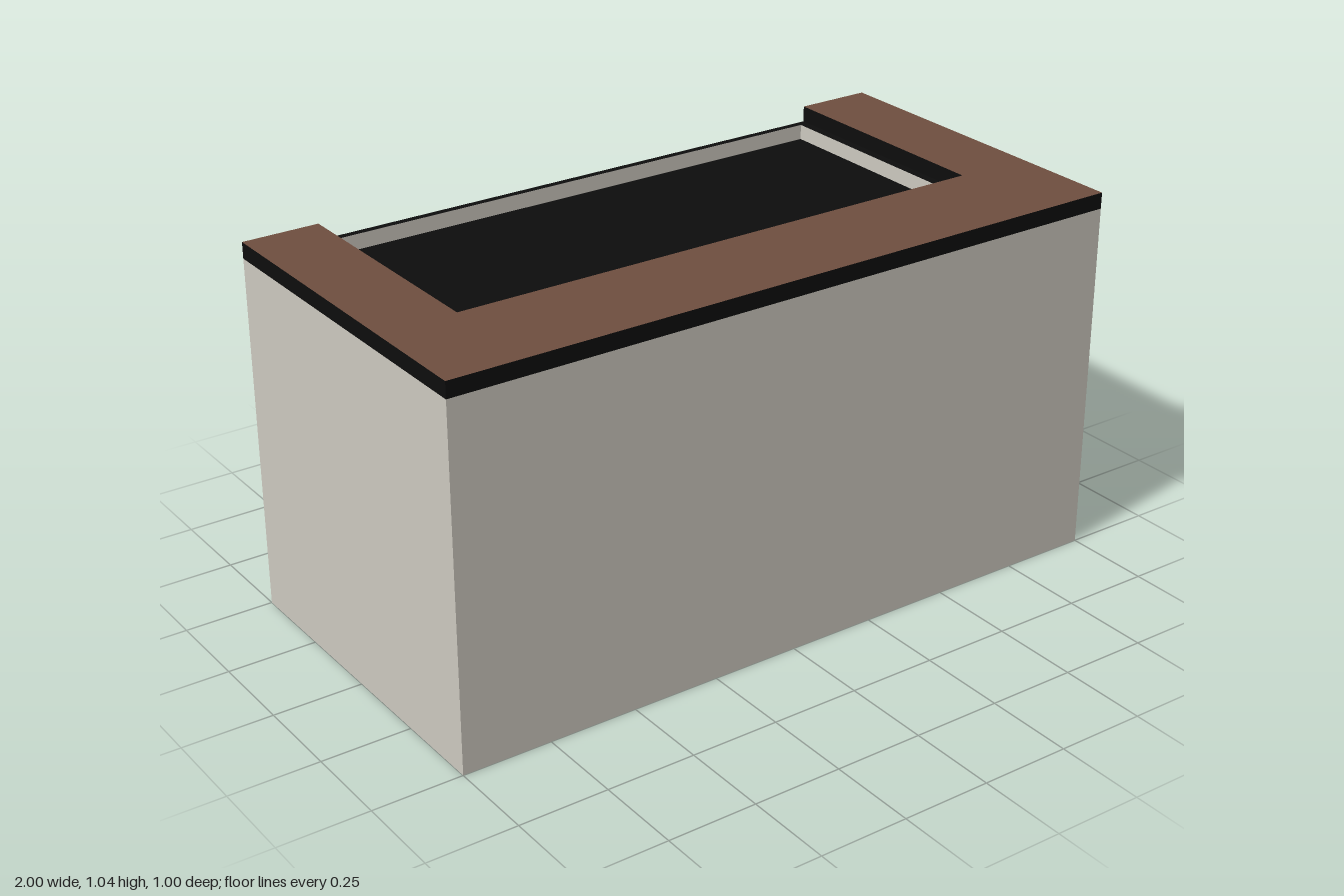
import * as THREE from 'three';

const mat = (color) => new THREE.MeshStandardMaterial({ color });

// Closed 2D shape from a list of points
const shape = (pts, hole) => {
  const s = new THREE.Shape(pts.map(([x, y]) => new THREE.Vector2(x, y)));
  if (hole) s.holes.push(new THREE.Path(hole.map(([x, y]) => new THREE.Vector2(x, y))));
  return s;
};

// Flat-shaded strip along a 2D path, from z0 to z1, facing right of travel
function ribbon(path, z0, z1) {
  const pos = [];
  for (let i = 0; i < path.length - 1; i++) {
    const [ax, ay] = path[i], [bx, by] = path[i + 1];
    pos.push(ax, ay, z0, bx, by, z0, bx, by, z1, ax, ay, z0, bx, by, z1, ax, ay, z1);
  }
  const g = new THREE.BufferGeometry();
  g.setAttribute('position', new THREE.Float32BufferAttribute(pos, 3));
  g.computeVertexNormals();
  return g;
}

// Plan rectangle (plan y = -z), counter-clockwise
const plan = (w, back, front) => [[-w, -front], [w, -front], [w, -back], [-w, -back]];
// Outline of an opening standing on the floor
const opening = (w, h) => [[-w, 0], [-w, h], [w, h], [w, 0]];
// Panel outline with an opening cut up from the floor
const arch = (W, H, w, h) => [...opening(W, H), ...opening(w, h).reverse()];

export function createModel() {
  const model = new THREE.Group();
  const stone = mat(0xcdc9c0), black = mat(0x0d0d0d), brown = mat(0x6f4e3f);
  const add = (parent, name, geometry, material) => {
    const m = new THREE.Mesh(geometry, material);
    m.name = name;
    parent.add(m);
    return m;
  };

  const TOP = 1, FLOOR = 0.957;                 // rim and sunken desk heights
  const STEP = { w: 0.785, h: 0.87, z: -0.43 }; // shallow outer recess
  const KNEE = { w: 0.58, h: 0.7, z: -0.05 };   // deep knee space
  const flat = (s, y) => new THREE.ShapeGeometry(s).rotateX(-Math.PI / 2).translate(0, y, 0);
  const backFace = (pts, z) => new THREE.ShapeGeometry(shape(pts)).rotateY(Math.PI).translate(0, 0, z);

  // Body: outer walls, stepped back and underside
  const body = new THREE.Group();
  body.name = 'body';
  model.add(body);
  const outer = plan(1, -0.5, 0.5);
  add(body, 'outerWalls', ribbon(outer, 0, TOP).rotateX(-Math.PI / 2), stone);
  body.children[0].name = 'frontAndSideWalls';
  // the back side of the loop is left out, the stepped back closes it
  body.children[0].geometry.dispose();
  body.children[0].geometry = ribbon([outer[3], ...outer.slice(0, 3)], 0, TOP).rotateX(-Math.PI / 2);
  add(body, 'backFrame', backFace(arch(1, TOP, STEP.w, STEP.h), -0.5), stone);
  add(body, 'innerBackFrame', backFace(arch(STEP.w, STEP.h, KNEE.w, KNEE.h), STEP.z), stone);
  add(body, 'kneeSpaceWall', backFace(opening(KNEE.w, KNEE.h), KNEE.z), stone);
  add(body, 'stepReveal', ribbon(opening(STEP.w, STEP.h), -0.5, STEP.z), stone);
  add(body, 'kneeSpaceReveal', ribbon(opening(KNEE.w, KNEE.h), STEP.z, KNEE.z), stone);
  const half = [[1, 0.5], [1, -0.5], [STEP.w, -0.5], [STEP.w, STEP.z], [KNEE.w, STEP.z], [KNEE.w, KNEE.z]];
  const foot = [...half, ...half.map(([x, z]) => [-x, z]).reverse()];
  add(body, 'underside', new THREE.ShapeGeometry(shape(foot)).rotateX(Math.PI / 2), stone);

  // Sunken desk with a thin rim
  const desk = new THREE.Group();
  desk.name = 'sunkenDesk';
  model.add(desk);
  const pit = plan(0.76, -0.48, 0.17);
  add(desk, 'deskRim', flat(shape(plan(0.785, -0.5, 0.19), pit), TOP), black);
  add(desk, 'deskSurface', flat(shape(pit), FLOOR), black);
  const loop = [...pit, pit[0]].reverse();
  add(desk, 'deskSides', ribbon(loop, FLOOR, TOP).rotateX(-Math.PI / 2), stone);

  // U-shaped counter: brown top, black edge
  const u = [[-1, -0.5], [1, -0.5], [1, 0.5], [0.785, 0.5], [0.785, -0.19],
    [-0.785, -0.19], [-0.785, 0.5], [-1, 0.5]];
  const counter = new THREE.ExtrudeGeometry(shape(u), { depth: 0.045, bevelEnabled: false });
  add(model, 'counterTop', counter.rotateX(-Math.PI / 2).translate(0, TOP, 0), [brown, black]);

  return model;
}
